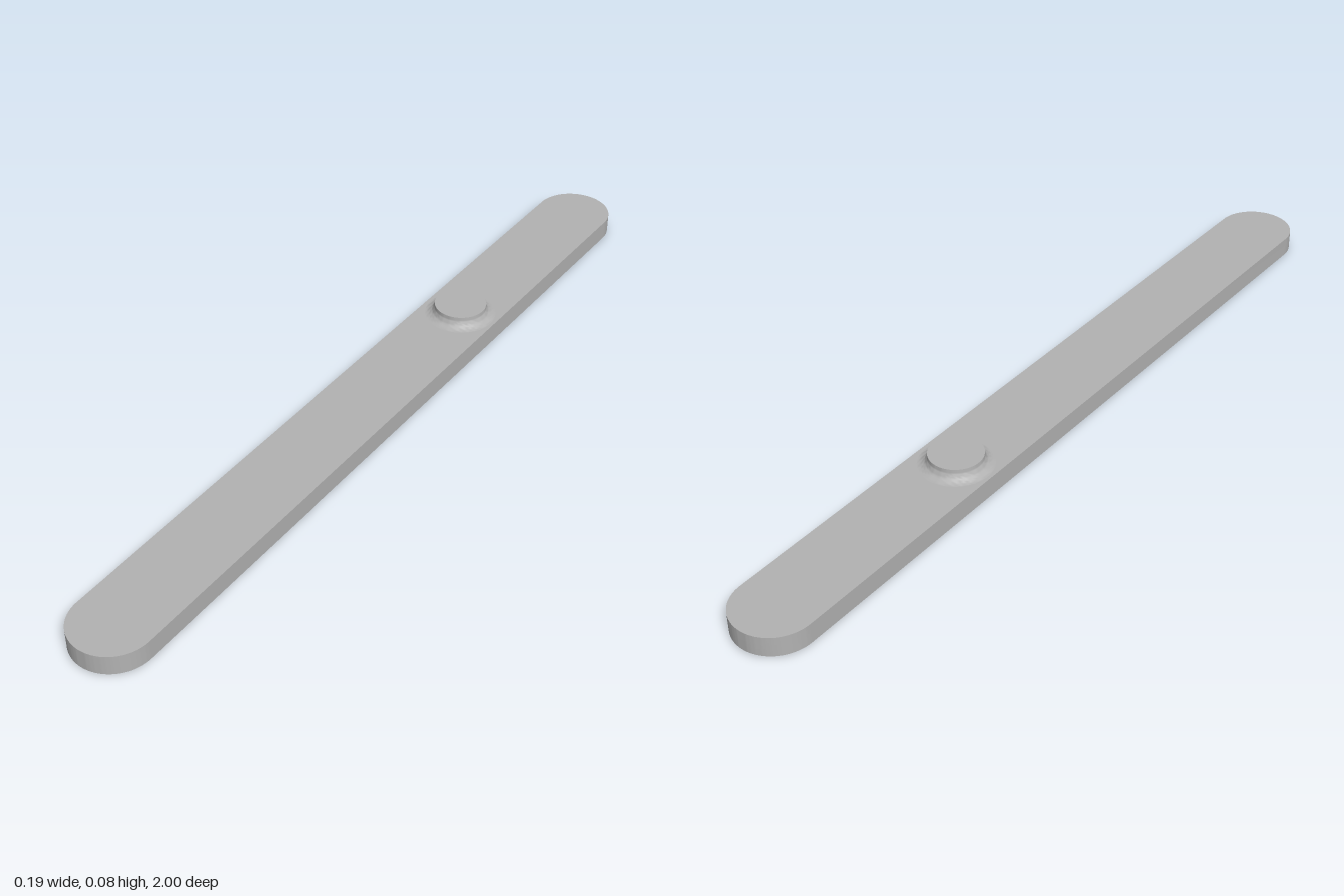
import * as THREE from 'three';
import { toCreasedNormals } from 'three/addons/utils/BufferGeometryUtils.js';

const grey = new THREE.MeshStandardMaterial({ color: 0xb2b2b2 });
grey.name = 'plain grey';

// Flat bar with fully rounded ends, lying along z
function roundedBar(name, radius, halfLength, bottom, top) {
  const straight = halfLength - radius;
  const shape = new THREE.Shape();
  shape.absarc(0, straight, radius, 0, Math.PI, false);
  shape.absarc(0, -straight, radius, Math.PI, Math.PI * 2, false);
  shape.closePath();
  const geometry = new THREE.ExtrudeGeometry(shape, {
    depth: top - bottom, bevelEnabled: false, curveSegments: 32,
  });
  geometry.rotateX(-Math.PI / 2);
  geometry.translate(0, bottom, 0);
  const mesh = new THREE.Mesh(toCreasedNormals(geometry, 0.6), grey);
  mesh.name = name;
  return mesh;
}

export function createModel() {
  const group = new THREE.Group();
  group.name = 'barWithButton';

  // Main bar and the slightly inset pad below it
  group.add(roundedBar('bar', 0.093, 1, 0.005, 0.052));
  group.add(roundedBar('basePad', 0.075, 0.982, 0, 0.005));

  // Round button that flares into the bar with a concave fillet
  const fillet = 0.023, radius = 0.062, base = 0.052;
  const profile = [];
  for (let i = 0; i <= 10; i++) {
    const a = (i / 10) * Math.PI / 2;
    profile.push(new THREE.Vector2(
      radius + fillet * (1 - Math.sin(a)),
      base + fillet * (1 - Math.cos(a)),
    ));
  }
  profile.push(new THREE.Vector2(radius, 0.079), new THREE.Vector2(0, 0.079));
  const button = new THREE.Mesh(
    toCreasedNormals(new THREE.LatheGeometry(profile, 64), 0.6), grey);
  button.name = 'button';
  button.position.z = -0.35;
  group.add(button);

  return group;
}
